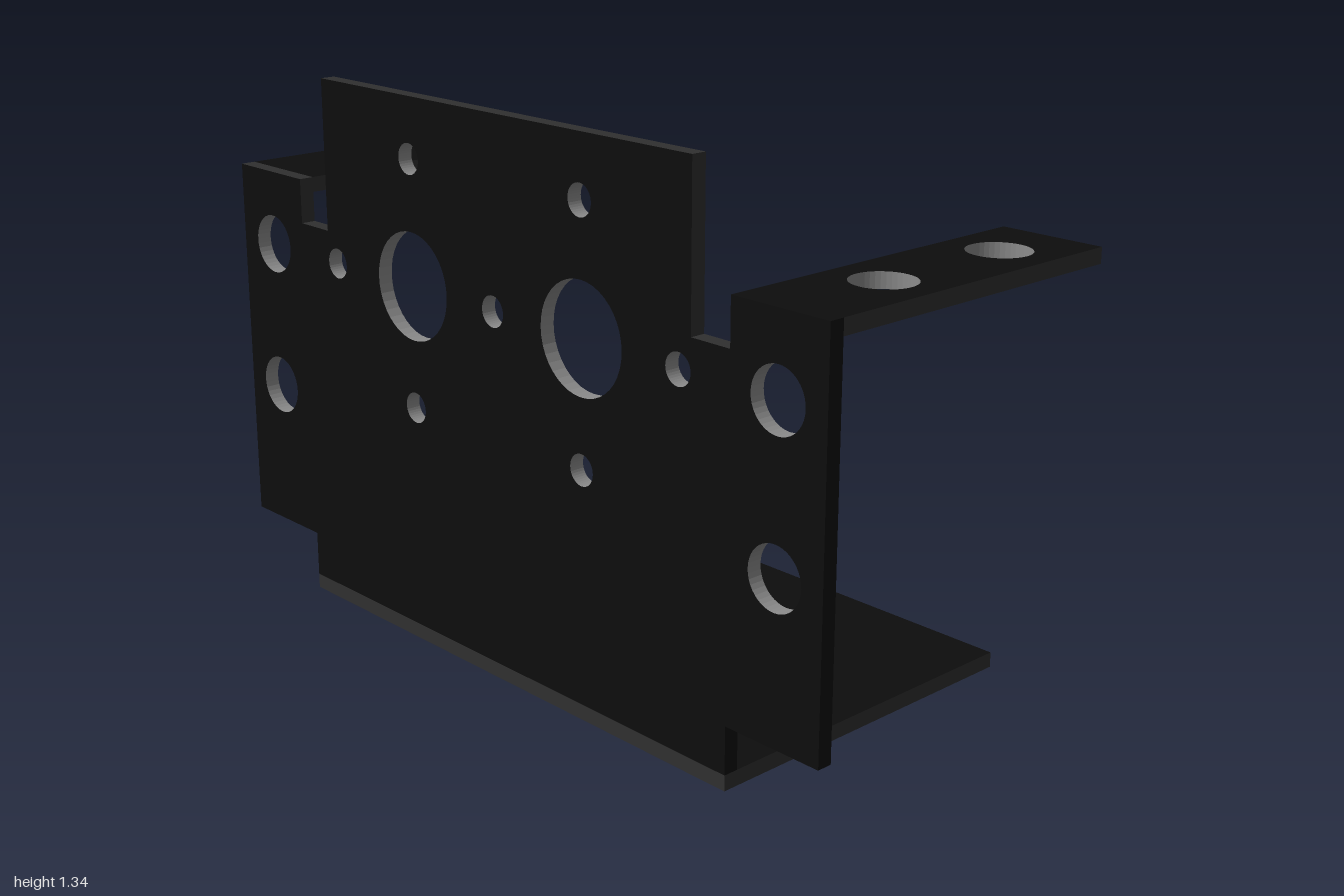
import * as THREE from 'three';

const T = 0.037; // sheet thickness
const face = new THREE.MeshStandardMaterial({ color: 0x0d0d0d });
const edge = new THREE.MeshStandardMaterial({ color: 0x303030 });
const bore = new THREE.MeshStandardMaterial({ color: 0x8c8c8c });

// Sheet cut from an anticlockwise outline with round holes [x, y, r].
// The first darkEdges outline edges take the face colour.
function sheet(name, outline, holes = [], darkEdges = 0) {
  const shape = new THREE.Shape(outline.map(([x, y]) => new THREE.Vector2(x, y)));
  for (const [x, y, r] of holes) {
    shape.holes.push(new THREE.Path().absarc(x, y, r, 0, Math.PI * 2, true));
  }
  const geo = new THREE.ExtrudeGeometry(shape, { depth: T, bevelEnabled: false, curveSegments: 20 });

  // Outline walls come first after the two faces, then the hole walls
  const [caps, sides] = geo.groups;
  const plain = (outline.length - darkEdges) * 6;
  const dark = darkEdges * 6;
  geo.clearGroups();
  geo.addGroup(caps.start, caps.count, 0);
  geo.addGroup(sides.start, plain, 1);
  if (dark) geo.addGroup(sides.start + plain, dark, 0);
  const rest = sides.count - plain - dark;
  if (rest > 0) geo.addGroup(sides.start + plain + dark, rest, 2);

  const mesh = new THREE.Mesh(geo, [face, edge, bore]);
  mesh.name = name;
  return mesh;
}

const rect = (x0, y0, x1, y1) => [[x0, y0], [x1, y0], [x1, y1], [x0, y1]];

export function createModel() {
  const group = new THREE.Group();
  group.name = 'sensorBracket';

  // Upright plate: stepped outline, two large openings, screw and mounting holes
  const holes = [[0, 0.89, 0.037]];
  for (const s of [-1, 1]) {
    holes.push(
      [s * 0.295, 0.89, 0.13],
      [s * 0.295, 1.19, 0.037],
      [s * 0.295, 0.595, 0.037],
      [s * 0.593, 0.89, 0.037],
      [s * 0.87, 0.89, 0.073],
      [s * 0.87, 0.52, 0.073],
    );
  }
  const half = [[0.74, 0.965], [0.63, 0.965], [0.63, 1.335]];
  const mirrored = half.map(([x, y]) => [-x, y]).reverse();
  const plate = sheet('frontPlate', [
    ...half, ...mirrored,
    [-0.74, 1.075], [-1, 1.075], [-1, 0.15], [-0.74, 0.15], [-0.74, T],
    [0.74, T], [0.74, 0.15], [1, 0.15], [1, 1.075], [0.74, 1.075],
  ], holes, 7);
  plate.position.z = 0.408;
  group.add(plate);

  // Base flange folded back from the foot of the plate
  const base = sheet('baseFlange', rect(-0.74, -0.445, 0.74, 0.445));
  base.rotation.x = -Math.PI / 2;
  group.add(base);

  // Two mounting tabs folded back from the top corners
  for (const [s, name] of [[1, 'leftTab'], [-1, 'rightTab']]) {
    const x0 = s > 0 ? 0.74 : -1;
    const tab = sheet(name, rect(x0, -0.408, x0 + 0.26, 0.408),
      [[s * 0.87, 0.225, 0.073], [s * 0.87, -0.145, 0.073]]);
    tab.rotation.x = -Math.PI / 2;
    tab.position.y = 1.075 - T;
    group.add(tab);
  }

  return group;
}
